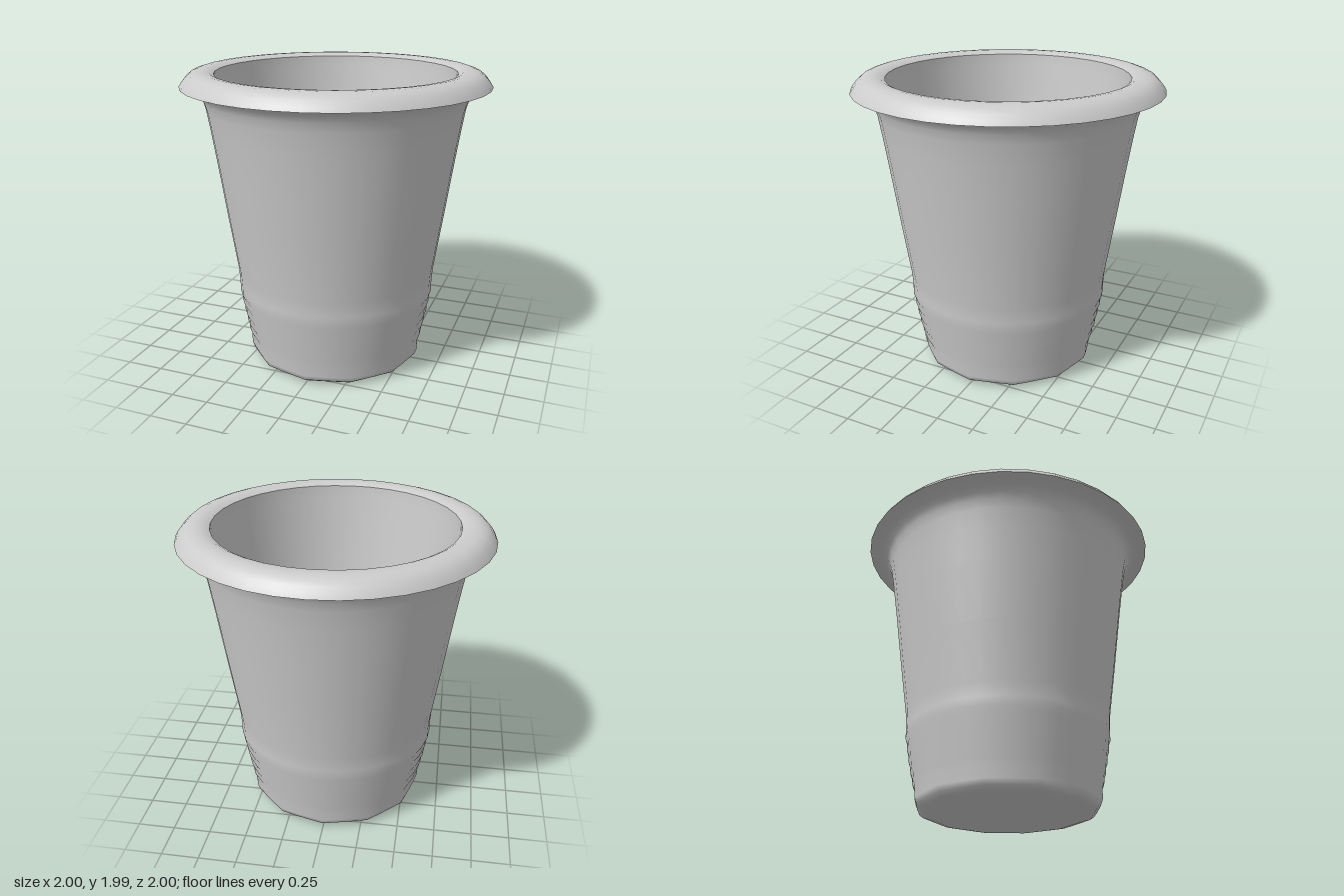
import * as THREE from 'three';

const SEGMENTS = 36;
const FACETS = 12;

// Pulls the low rings towards a twelve-sided outline, fading out upwards
function facetBase(geometry, fadeHeight) {
  const p = geometry.attributes.position;
  const step = (2 * Math.PI) / FACETS;
  for (let i = 0; i < p.count; i++) {
    const x = p.getX(i), z = p.getZ(i);
    const weight = Math.max(0, 1 - p.getY(i) / fadeHeight);
    const a = ((Math.atan2(x, z) + 2 * Math.PI + 1e-6) % step) - step / 2;
    const flat = Math.cos(step / 2) / Math.cos(a);
    const k = 1 + (flat - 1) * weight;
    p.setX(i, x * k);
    p.setZ(i, z * k);
  }
  return geometry;
}

export function createModel() {
  const group = new THREE.Group();
  const material = new THREE.MeshStandardMaterial({ color: 0xcccccc, side: THREE.DoubleSide });

  function addLathe(name, profile, fadeHeight = 0) {
    const points = profile.map(([r, y]) => new THREE.Vector2(r, y));
    const geometry = new THREE.LatheGeometry(points, SEGMENTS);
    if (fadeHeight) facetBase(geometry, fadeHeight);
    const mesh = new THREE.Mesh(geometry, material);
    mesh.name = name;
    group.add(mesh);
  }

  // Shallow grip ridges around the lower wall
  const ridges = [];
  for (let i = 0; i < 5; i++) {
    const y = 0.16 + i * 0.075;
    const r = 0.603 + i * 0.013;
    ridges.push([r, y], [r + 0.014, y + 0.035]);
  }

  // Rounded foot, ridged band, tapered wall and flare under the rim
  addLathe('outerWall', [
    [0, 0.01], [0.42, 0.01], [0.51, 0.013], [0.56, 0.025], [0.588, 0.045], [0.6, 0.08],
    ...ridges,
    [0.668, 0.55], [0.674, 0.65], [0.73, 1.03], [0.785, 1.42], [0.815, 1.62], [0.838, 1.76],
    [0.855, 1.82], [0.875, 1.86], [0.905, 1.885], [0.95, 1.895], [1, 1.905],
  ], 0.3);

  // Rolled rim
  addLathe('rim', [
    [1, 1.905], [0.985, 1.93], [0.96, 1.96], [0.93, 1.985], [0.89, 1.998],
    [0.85, 2], [0.81, 1.995], [0.78, 1.98],
  ]);

  // Tapered interior with a rounded corner into the floor
  addLathe('interior', [
    [0.78, 1.98], [0.775, 1.9], [0.715, 1.42], [0.625, 0.7], [0.565, 0.25],
    [0.54, 0.14], [0.5, 0.095], [0.43, 0.08], [0, 0.08],
  ], 0.4);

  return group;
}
